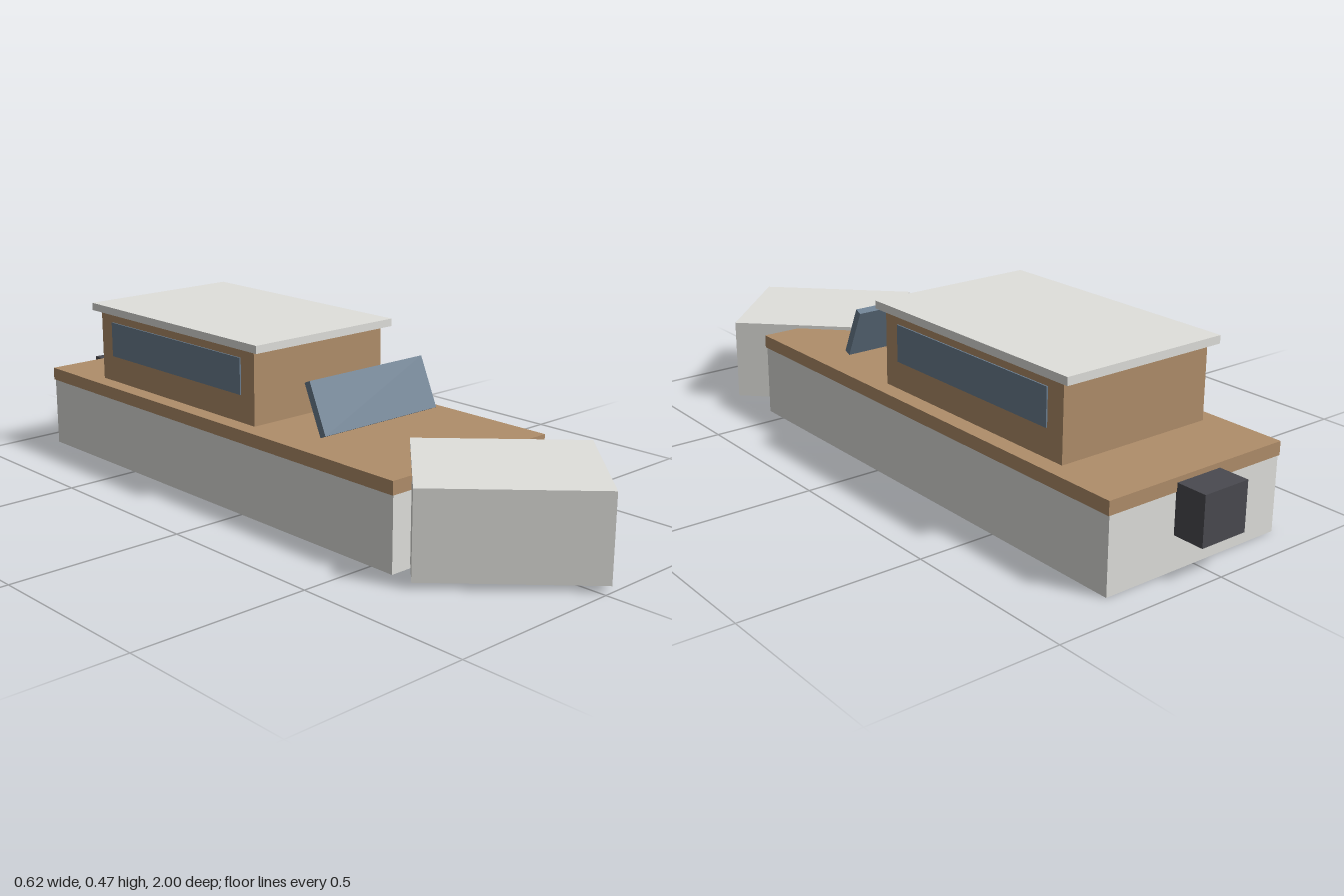
import * as THREE from 'three';

const material = (name, color) => {
  const m = new THREE.MeshStandardMaterial({ color });
  m.name = name;
  return m;
};

export function createModel() {
  const boat = new THREE.Group();
  boat.name = 'boat';

  const paint = material('light grey paint', 0xe0e0dc);
  const wood = material('wood', 0xb08e6a);
  const glass = material('blue glass', 0x6b7e90);
  const dark = material('dark metal', 0x4a4a50);

  // Box given by its width, height, depth and centre
  const box = (name, mat, [w, h, d], [x, y, z]) => {
    const mesh = new THREE.Mesh(new THREE.BoxGeometry(w, h, d), mat);
    mesh.name = name;
    mesh.position.set(x, y, z);
    boat.add(mesh);
    return mesh;
  };

  // Hull and deck
  box('hull', paint, [0.562, 0.206, 1.485], [0, 0.103, -0.168]);
  box('deck', wood, [0.57, 0.037, 1.49], [0, 0.2235, -0.168]);

  // Bow block, turned a quarter to make a point
  const bow = box('bow', paint, [0.472, 0.236, 0.402], [0, 0.134, 0.69]);
  bow.rotation.y = -Math.PI / 4;

  // Cabin with overhanging roof
  box('cabin', wood, [0.474, 0.208, 0.71], [0, 0.346, -0.347]);
  box('roof', paint, [0.504, 0.022, 0.765], [0, 0.461, -0.347]);

  // Side windows
  for (const side of [1, -1]) {
    box(side > 0 ? 'leftWindow' : 'rightWindow', glass,
      [0.008, 0.103, 0.6], [side * 0.237, 0.3715, -0.347]);
  }

  // Raked windshield
  const windshield = box('windshield', glass, [0.416, 0.149, 0.021], [0, 0.328, 0.217]);
  windshield.rotation.x = -0.42;

  // Outboard motor on the stern
  box('motor', dark, [0.142, 0.134, 0.1], [0, 0.161, -0.95]);

  return boat;
}
